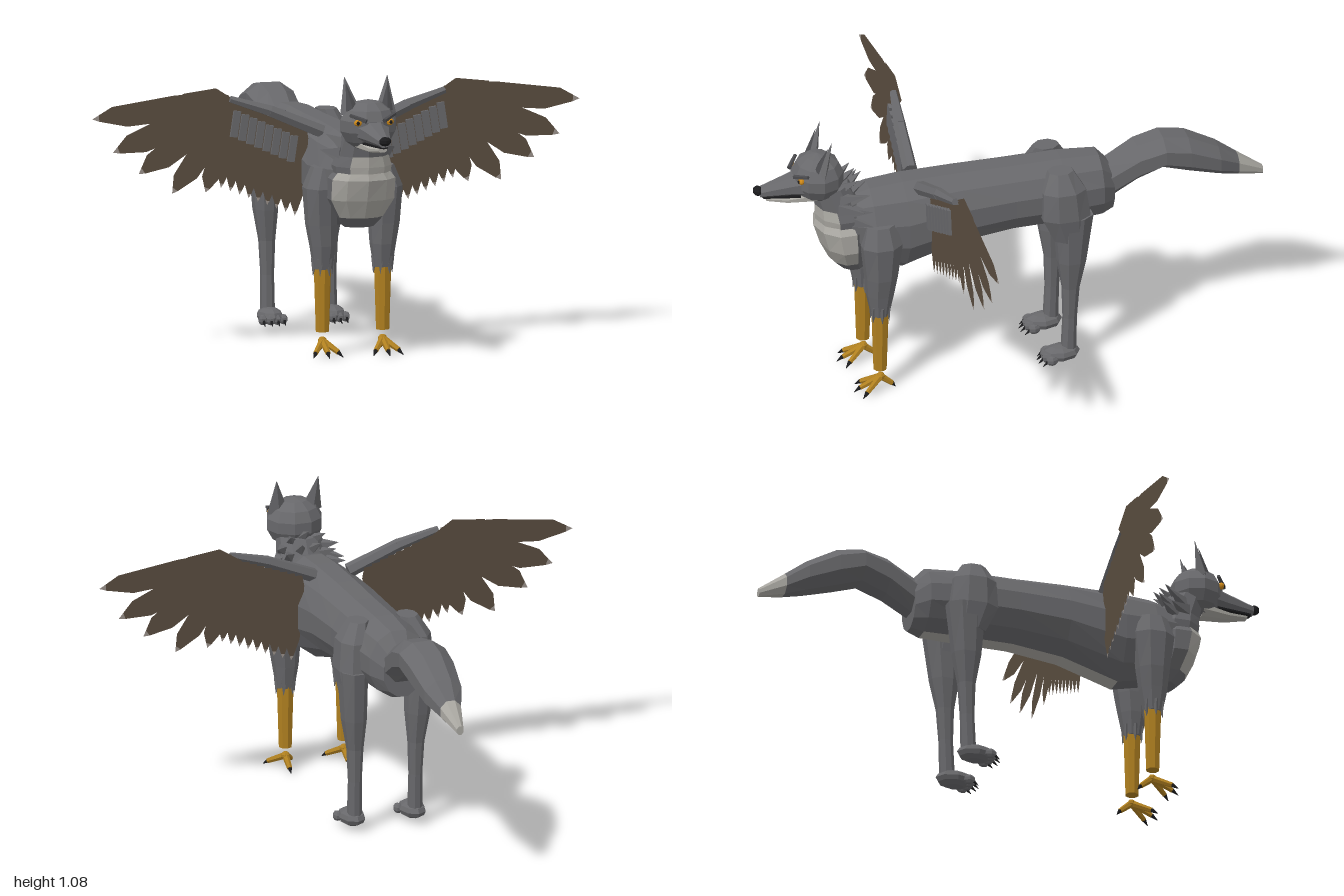
import * as THREE from 'three';

const mat = (name, color, side = THREE.FrontSide) => {
  const m = new THREE.MeshStandardMaterial({ color, flatShading: true, side });
  m.name = name;
  return m;
};

export function createModel() {
  const root = new THREE.Group();
  root.name = 'wingedWolf';
  const grey = mat('greyFur', 0x68686b);
  const dark = mat('darkFur', 0x4a4a4d);
  const pale = mat('paleFur', 0xa9a7a1);
  const brown = mat('brownFeather', 0x5a4d3f, THREE.DoubleSide);
  const paleTip = mat('featherTip', 0x9a918a, THREE.DoubleSide);
  const gold = mat('goldScale', 0xb08020);
  const black = mat('blackHorn', 0x1c1c1e);
  const amber = mat('amberEye', 0xd08a18);

  const add = (name, geo, material, parent = root) => {
    const mesh = new THREE.Mesh(geo, material);
    mesh.name = name;
    parent.add(mesh);
    return mesh;
  };

  // Skin rings [u, x, other centre, rx, other radius], ordered along +z or +y
  const loft = (name, rings, axis, mats, pick = () => 0, n = 10, parent = root) => {
    const pos = [], lists = mats.map(() => []);
    const put = (u, x, o) => (axis === 'z' ? pos.push(x, o, u) : pos.push(x, u, o));
    rings.forEach(([u, cx, co, rx, ro]) => {
      for (let j = 0; j < n; j++) {
        const a = ((j + 0.5) / n) * Math.PI * 2;
        put(u, cx + rx * Math.cos(a), co + (axis === 'z' ? 1 : -1) * ro * Math.sin(a));
      }
    });
    const last = rings.length - 1;
    put(rings[0][0], rings[0][1], rings[0][2]);
    put(rings[last][0], rings[last][1], rings[last][2]);
    const c0 = rings.length * n, c1 = c0 + 1;
    for (let j = 0; j < n; j++) {
      const k = (j + 1) % n;
      for (let i = 0; i < last; i++) {
        const a = i * n + j, b = i * n + k, c = b + n, d = a + n;
        lists[pick(i, j)].push(a, b, c, a, c, d);
      }
      lists[pick(0, j)].push(c0, k, j);
      lists[pick(last - 1, j)].push(c1, last * n + j, last * n + k);
    }
    const indexed = new THREE.BufferGeometry();
    indexed.setAttribute('position', new THREE.Float32BufferAttribute(pos, 3));
    indexed.setIndex(lists.flat());
    let start = 0;
    lists.forEach((l, m) => { indexed.addGroup(start, l.length, m); start += l.length; });
    const geo = indexed.toNonIndexed();
    geo.computeVertexNormals();
    return add(name, geo, mats, parent);
  };

  // Tapered rod from a to b
  const rod = (name, a, b, r0, r1, material, n = 6, parent = root) => {
    const p = new THREE.Vector3(...a), q = new THREE.Vector3(...b);
    const d = q.clone().sub(p);
    const mesh = add(name, new THREE.CylinderGeometry(r1, r0, d.length(), n), material, parent);
    mesh.position.copy(p).add(q).multiplyScalar(0.5);
    mesh.quaternion.setFromUnitVectors(new THREE.Vector3(0, 1, 0), d.normalize());
    return mesh;
  };

  const ball = (name, p, r, material, w = 8, h = 6, parent = root) => {
    const mesh = add(name, new THREE.SphereGeometry(1, w, h), material, parent);
    mesh.position.set(...p);
    mesh.scale.set(...r);
    return mesh;
  };

  // Torso with a pale belly strip
  loft('torso', [
    [-0.40, 0, 0.68, 0.08, 0.10], [-0.35, 0, 0.70, 0.12, 0.135], [-0.2, 0, 0.705, 0.14, 0.14],
    [0, 0, 0.705, 0.14, 0.14], [0.2, 0, 0.695, 0.145, 0.155], [0.42, 0, 0.66, 0.15, 0.19],
    [0.55, 0, 0.67, 0.14, 0.17], [0.64, 0, 0.69, 0.11, 0.12],
  ], 'z', [grey, pale], (i, j) => (j === 8 && i > 0 && i < 5 ? 1 : 0), 12);

  // Tail with a pale end
  loft('tail', [
    [-1, 0, 0.645, 0.015, 0.018], [-0.9, 0, 0.69, 0.045, 0.045], [-0.82, 0, 0.73, 0.08, 0.063],
    [-0.7, 0, 0.78, 0.095, 0.078], [-0.6, 0, 0.805, 0.1, 0.07], [-0.5, 0, 0.775, 0.09, 0.078],
    [-0.37, 0, 0.70, 0.075, 0.08],
  ], 'z', [grey, pale], (i) => (i === 0 ? 1 : 0), 8);

  // Chest and neck, pale towards the front
  loft('chest', [
    [0.5, 0, 0.61, 0.06, 0.05], [0.54, 0, 0.63, 0.09, 0.07], [0.61, 0, 0.645, 0.13, 0.09],
    [0.69, 0, 0.655, 0.13, 0.105], [0.72, 0, 0.66, 0.105, 0.09],
  ], 'y', [grey, pale], (i, j) => (i > 0 && j >= 5 ? 1 : 0));
  loft('neck', [
    [0.70, 0, 0.65, 0.11, 0.1], [0.74, 0, 0.655, 0.115, 0.1], [0.78, 0, 0.665, 0.1, 0.09],
    [0.87, 0, 0.70, 0.085, 0.075],
  ], 'y', [grey, pale], (i, j) => (i < 2 && j >= 6 && j <= 8 ? 1 : 0));

  // Ruff of swept-back tufts
  const ruff = new THREE.Group();
  ruff.name = 'neckRuff';
  root.add(ruff);
  for (let row = 0; row < 2; row++) {
    for (let i = -3; i <= 3; i++) {
      const a = (i + (row ? 0 : 0.5)) * 0.5, s = Math.sin(a), c = Math.cos(a);
      const y = 0.75 + row * 0.035, z = 0.64 + row * 0.035;
      rod('ruffTuft', [s * 0.08, y + c * 0.07, z], [s * 0.145, y + c * 0.125, z - 0.075],
        0.03, 0.001, grey, 4, ruff);
    }
  }

  // Head, muzzle and jaw
  const head = new THREE.Group();
  head.name = 'head';
  root.add(head);
  ball('skull', [0, 0.905, 0.745], [0.112, 0.097, 0.102], grey, 10, 7, head);
  loft('muzzle', [
    [0.79, 0, 0.89, 0.075, 0.055], [0.86, 0, 0.882, 0.052, 0.04], [0.97, 0, 0.868, 0.026, 0.02],
  ], 'z', [grey], undefined, 8, head);
  loft('jaw', [
    [0.76, 0, 0.835, 0.06, 0.028], [0.87, 0, 0.828, 0.038, 0.014], [0.945, 0, 0.836, 0.018, 0.009],
  ], 'z', [pale], undefined, 8, head);
  loft('mouthLine', [
    [0.82, 0, 0.845, 0.05, 0.008], [0.96, 0, 0.848, 0.02, 0.006],
  ], 'z', [black], undefined, 6, head);
  ball('nose', [0, 0.874, 0.978], [0.024, 0.018, 0.02], black, 8, 5, head);

  // A flat pointed feather from (x0,y0) to (x1,y1) with a pale tip
  const feather = (x0, y0, x1, y1, w, z, s, parent) => {
    const dx = x1 - x0, dy = y1 - y0, len = Math.hypot(dx, dy);
    const at = (t, v) => new THREE.Vector2(
      s * (x0 + dx * t - (dy / len) * v * w), y0 + dy * t + (dx / len) * v * w);
    const vane = [[0, -0.5], [0.12, -0.9], [0.75, -0.9], [0.95, -0.25], [0.95, 0.25],
      [0.85, 0.75], [0.4, 1], [0.1, 0.9], [0, 0.5]];
    const tip = [[0.95, -0.25], [1, 0], [0.95, 0.25]];
    [[vane, brown, 'feather'], [tip, paleTip, 'featherTip']].forEach(([pts, m, name]) => {
      const shape = new THREE.Shape(pts.map(([t, v]) => at(t, v)));
      add(name, new THREE.ShapeGeometry(shape), m, parent).position.z = z;
    });
  };

  for (const s of [1, -1]) {
    const side = s > 0 ? 'left' : 'right';
    const group = (name) => {
      const g = new THREE.Group();
      g.name = side + name;
      root.add(g);
      return g;
    };

    // Ear, eye and brow
    const ear = rod('ear', [s * 0.068, 0.95, 0.745], [s * 0.084, 1.085, 0.712], 0.042, 0.001, grey, 4, head);
    ear.scale.z = 0.55;
    const inner = rod('innerEar', [s * 0.068, 0.965, 0.764], [s * 0.082, 1.06, 0.727], 0.024, 0.001, dark, 4, head);
    inner.scale.z = 0.4;
    ball('eye', [s * 0.062, 0.925, 0.825], [0.016, 0.013, 0.012], amber, 8, 6, head);
    ball('pupil', [s * 0.064, 0.925, 0.834], [0.007, 0.008, 0.006], black, 6, 4, head);
    rod('brow', [s * 0.035, 0.932, 0.845], [s * 0.088, 0.952, 0.805], 0.009, 0.007, dark, 5, head);

    // Front leg with scaled shank and talons
    const x = s * 0.118, fore = group('FrontLeg');
    loft('upperLeg', [
      [0.33, x, 0.533, 0.036, 0.036], [0.42, x, 0.533, 0.05, 0.055], [0.5, s * 0.123, 0.53, 0.06, 0.065],
      [0.64, s * 0.13, 0.53, 0.063, 0.083], [0.72, s * 0.115, 0.53, 0.045, 0.06],
    ], 'y', [grey], undefined, 8, fore);
    rod('shank', [x, 0.09, 0.532], [x, 0.34, 0.532], 0.026, 0.034, gold, 8, fore);
    for (let i = 0; i < 6; i++) {
      const a = (i / 6) * Math.PI * 2, c = Math.cos(a), d = Math.sin(a);
      rod('legTuft', [x + c * 0.03, 0.37, 0.533 + d * 0.03], [x + c * 0.037, 0.305, 0.533 + d * 0.037],
        0.016, 0.001, grey, 4, fore);
    }
    ball('ankle', [x, 0.055, 0.53], [0.018, 0.016, 0.018], gold, 6, 5, fore);
    for (const [dx, dz] of [[-0.045, 0.065], [0, 0.08], [0.045, 0.065], [0, -0.045]]) {
      const end = [x + dx, 0.018, 0.53 + dz];
      rod('toe', [x, 0.055, 0.53], end, 0.014, 0.01, gold, 6, fore);
      rod('talon', end, [x + dx * 1.3, 0.001, 0.53 + dz * 1.3], 0.009, 0.001, black, 5, fore);
    }

    // Hind leg and paw
    const hind = group('HindLeg');
    loft('haunch', [
      [0.55, s * 0.13, -0.21, 0.05, 0.07], [0.65, s * 0.135, -0.19, 0.06, 0.1],
      [0.76, s * 0.125, -0.185, 0.06, 0.09], [0.83, s * 0.1, -0.18, 0.04, 0.05],
    ], 'y', [grey], undefined, 8, hind);
    loft('lowerLeg', [
      [0.06, s * 0.122, -0.205, 0.028, 0.03], [0.2, s * 0.122, -0.21, 0.026, 0.028],
      [0.33, s * 0.123, -0.213, 0.032, 0.035], [0.45, s * 0.128, -0.215, 0.048, 0.058],
      [0.65, s * 0.135, -0.22, 0.056, 0.08],
    ], 'y', [grey], undefined, 8, hind);
    ball('paw', [s * 0.122, 0.047, -0.175], [0.05, 0.033, 0.075], grey, 8, 6, hind);
    for (let i = -1.5; i < 2; i++) {
      const px = s * 0.122 + i * 0.027, pz = -0.115 - Math.abs(i) * 0.01;
      ball('pawToe', [px, 0.038, pz], [0.017, 0.02, 0.024], grey, 6, 5, hind);
      rod('claw', [px, 0.034, pz + 0.016], [px, 0.018, pz + 0.036], 0.007, 0.001, black, 5, hind);
    }

    // Wing arm
    const wing = group('Wing');
    rod('wingArm', [s * 0.07, 0.825, 0.36], [s * 0.27, 0.91, 0.345], 0.028, 0.024, grey, 6, wing);
    rod('wingForearm', [s * 0.26, 0.907, 0.345], [s * 0.42, 0.958, 0.325], 0.024, 0.014, grey, 6, wing);

    // Long outer feathers
    [[0.42, 0.945, 0.955, 0.9, 0.05], [0.42, 0.94, 0.875, 0.77, 0.054], [0.41, 0.93, 0.775, 0.685, 0.054],
      [0.4, 0.93, 0.645, 0.605, 0.05], [0.39, 0.93, 0.515, 0.605, 0.046],
    ].forEach(([a, b, c, d, w], i) => feather(a, b, c, d, w, 0.306 + i * 0.003, s, wing));
    add('wingEdge', new THREE.ShapeGeometry(new THREE.Shape([[0.38, 0.94], [0.42, 0.9], [0.62, 0.92],
      [0.6, 0.982], [0.47, 0.998]].map(([a, b]) => new THREE.Vector2(s * a, b)))), brown, wing).position.z = 0.304;

    // Inner feathers and the short grey row before them
    for (let i = 0; i < 9; i++) {
      const t = i / 8, bx = 0.39 - 0.25 * t, by = 0.94 - 0.1 * t;
      feather(bx, by, 0.455 - 0.285 * t, 0.62 - 0.115 * t, 0.03, 0.319 + i * 0.002, s, wing);
      if (i > 7) continue;
      const covert = add('covert', new THREE.BoxGeometry(0.028, 0.1, 0.012), grey, wing);
      covert.position.set(s * (bx + 0.015), by - 0.075 - 0.015 * t, 0.345 + 0.018 * t);
      covert.rotation.z = s * 0.15;
    }
  }
  return root;
}
